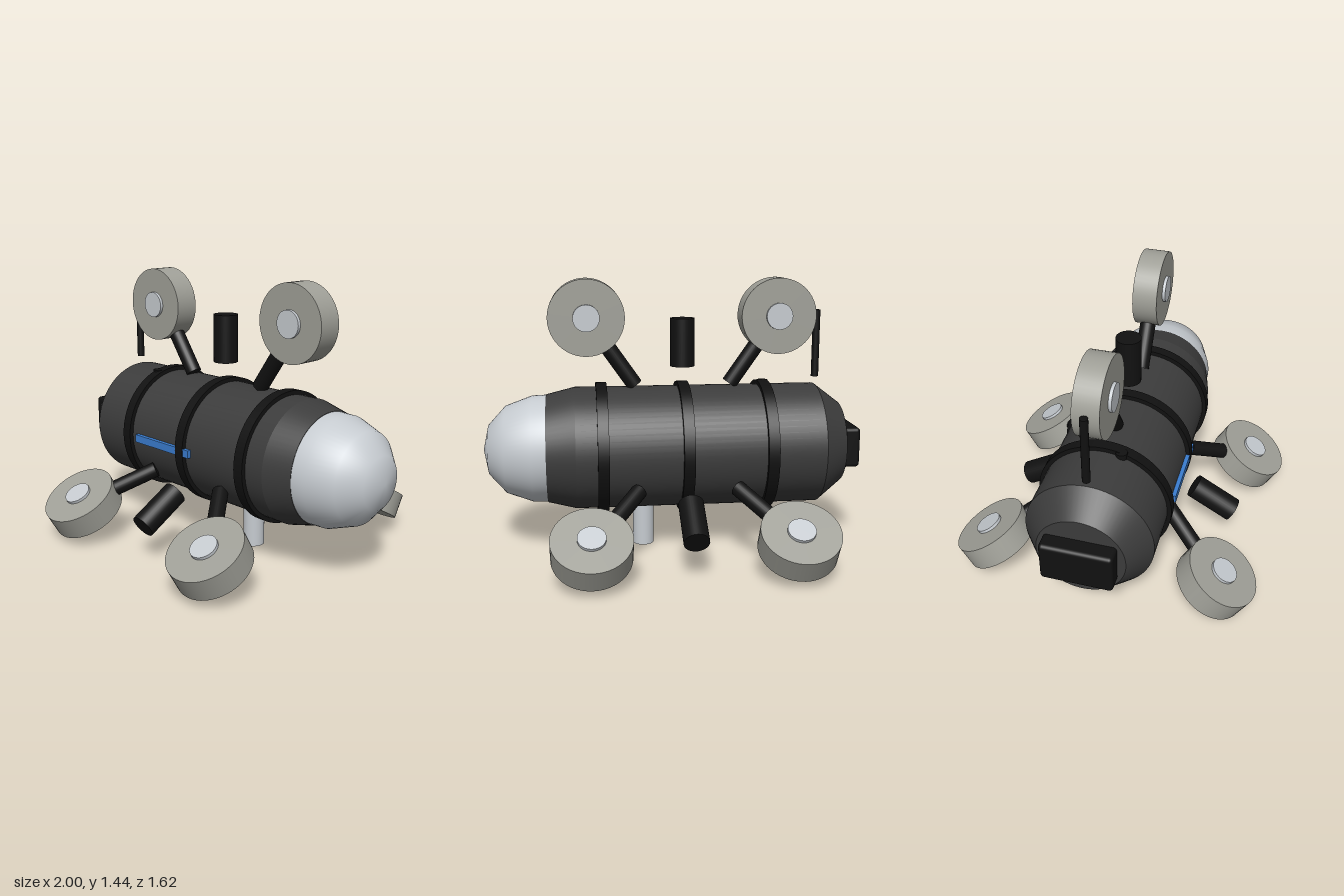
import * as THREE from 'three';
import { toCreasedNormals } from 'three/addons/utils/BufferGeometryUtils.js';
import { RoundedBoxGeometry } from 'three/addons/geometries/RoundedBoxGeometry.js';

const AXIS_Y = 0.545; // height of the hull's long axis
const MID_X = -0.06; // middle of the wheel layout

function material(name, color) {
  const m = new THREE.MeshStandardMaterial({ color });
  m.name = name;
  return m;
}

function add(parent, name, geometry, mat, x = 0, y = 0, z = 0) {
  const mesh = new THREE.Mesh(geometry, mat);
  mesh.name = name;
  mesh.position.set(x, y, z);
  parent.add(mesh);
  return mesh;
}

// Lathe whose profile is [position along x, radius]
function latheX(profile, crease) {
  const points = profile.map(([x, r]) => new THREE.Vector2(r, x));
  const g = new THREE.LatheGeometry(points, 64).rotateZ(-Math.PI / 2);
  return toCreasedNormals(g, crease);
}

// Cylinder running between two points
function rod(parent, name, from, to, radius, mat) {
  const dir = to.clone().sub(from);
  const mesh = add(parent, name, new THREE.CylinderGeometry(radius, radius, dir.length(), 24), mat);
  mesh.position.copy(from).add(to).multiplyScalar(0.5);
  mesh.quaternion.setFromUnitVectors(new THREE.Vector3(0, 1, 0), dir.normalize());
  return mesh;
}

export function createModel() {
  const hullGrey = material('hullGrey', 0x3c3c3c);
  const black = material('black', 0x111111);
  const wheelGrey = material('wheelGrey', 0xa0a098);
  const silver = material('silver', 0xc6cbd0);
  const blue = material('blue', 0x3a7dd0);

  const model = new THREE.Group();
  model.name = 'pipeCrawler';

  // Everything on the long axis and around it
  const body = new THREE.Group();
  body.name = 'body';
  body.position.y = AXIS_Y;
  model.add(body);

  add(body, 'hull', latheX([
    [-0.915, 0], [-0.915, 0.222], [-0.78, 0.325], [0.515, 0.325], [0.665, 0.288], [0.665, 0],
  ], 0.2), hullGrey);
  add(body, 'nose', latheX([
    [0.66, 0.286], [0.74, 0.283], [0.88, 0.232], [0.97, 0.133], [1, 0],
  ], 0.7), silver);

  for (const x of [-0.495, MID_X, 0.375]) {
    add(body, 'ring', new THREE.CylinderGeometry(0.347, 0.347, 0.058, 64).rotateZ(Math.PI / 2), black, x);
  }
  add(body, 'tailBlock', new RoundedBoxGeometry(0.1, 0.215, 0.36, 3, 0.02), black, -0.95);

  // Three identical wheel sets, spread evenly around the axis
  for (let i = 0; i < 3; i++) {
    const set = new THREE.Group();
    set.name = 'wheelSet';
    set.rotation.x = i * Math.PI * 2 / 3;
    body.add(set);

    add(set, 'canister', new THREE.CylinderGeometry(0.065, 0.065, 0.255, 32), black, MID_X, 0.56);

    for (const side of [-1, 1]) {
      const hub = new THREE.Vector3(MID_X + side * 0.507, 0.697, 0);
      const foot = new THREE.Vector3(MID_X + side * 0.255, 0.335, 0);
      rod(set, 'arm', foot, hub, 0.042, black);
      add(set, 'wheel', new THREE.CylinderGeometry(0.2, 0.2, 0.13, 48).rotateX(Math.PI / 2),
        wheelGrey, hub.x, hub.y);
      add(set, 'hub', new THREE.CylinderGeometry(0.07, 0.07, 0.162, 32).rotateX(Math.PI / 2),
        silver, hub.x, hub.y);
    }
  }

  // Fittings
  add(model, 'antenna', new THREE.CylinderGeometry(0.02, 0.02, 0.36, 16), black, -0.785, 1.09);
  add(model, 'topStud', new THREE.CylinderGeometry(0.03, 0.03, 0.06, 16), black, -0.515, 0.85, 0.09);
  add(model, 'bottomPost', new THREE.CylinderGeometry(0.057, 0.057, 0.26, 32), silver, 0.155, 0.13);
  add(model, 'sideStrip', new THREE.BoxGeometry(0.43, 0.042, 0.025), blue, -0.205, AXIS_Y, 0.333);

  return model;
}
